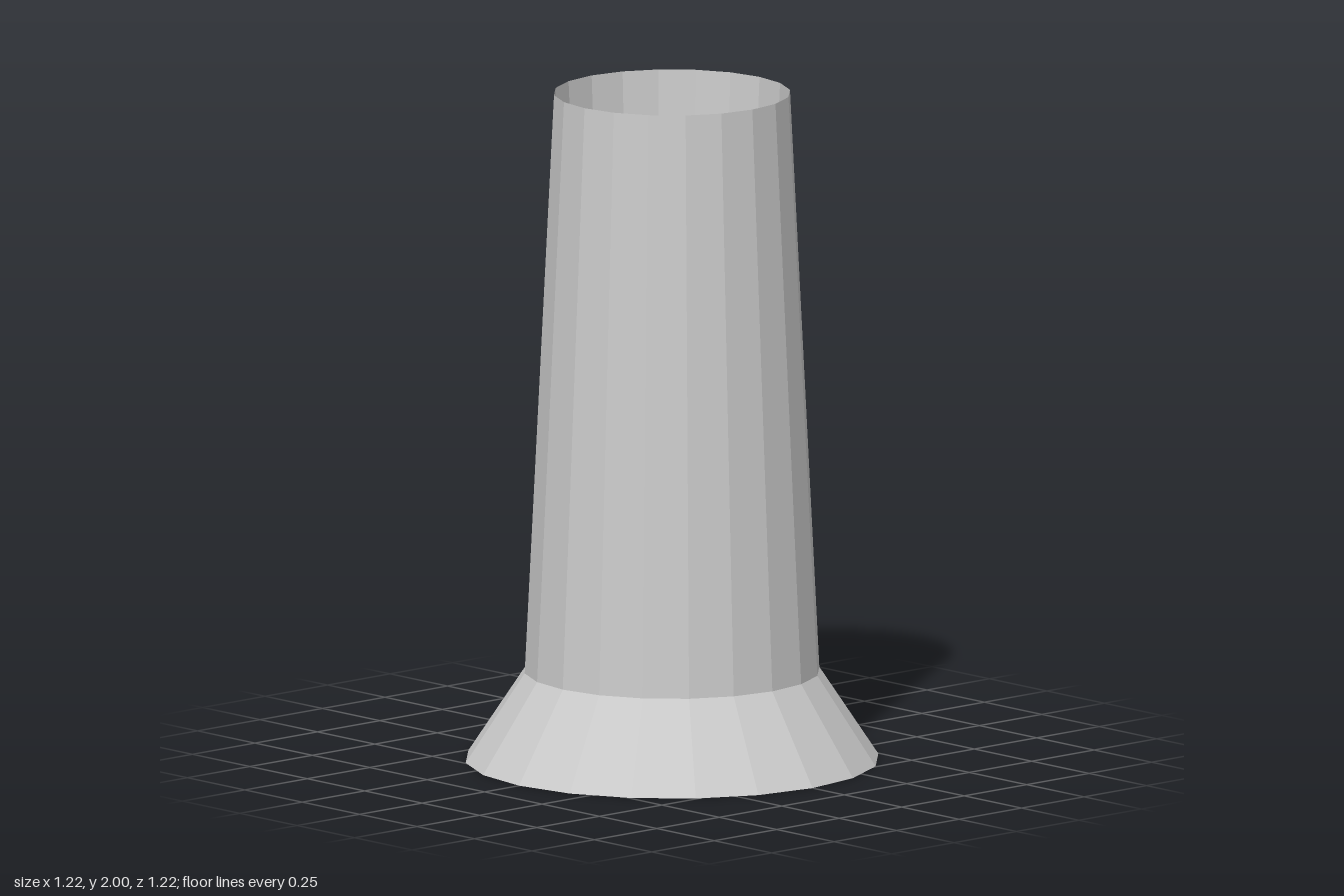
import * as THREE from 'three';

const SIDES = 20;

export function createModel() {
  const group = new THREE.Group();
  const material = new THREE.MeshStandardMaterial({ color: 0xcccccc, flatShading: true });

  // Turns a profile of [radius, height] pairs around the y axis
  const addTurned = (name, profile) => {
    const points = profile.map(([r, y]) => new THREE.Vector2(r, y));
    const mesh = new THREE.Mesh(new THREE.LatheGeometry(points, SIDES), material);
    mesh.name = name;
    group.add(mesh);
  };

  // Flared foot with closed underside
  addTurned('flaredFoot', [[0, 0], [0.612, 0], [0.437, 0.265]]);
  // Tall tapering outer wall
  addTurned('taperedShaft', [[0.437, 0.265], [0.35, 2]]);
  // Hollow narrowing from the sharp rim down to a flat floor
  addTurned('innerHollow', [[0.35, 2], [0.3, 1], [0, 1]]);

  return group;
}
